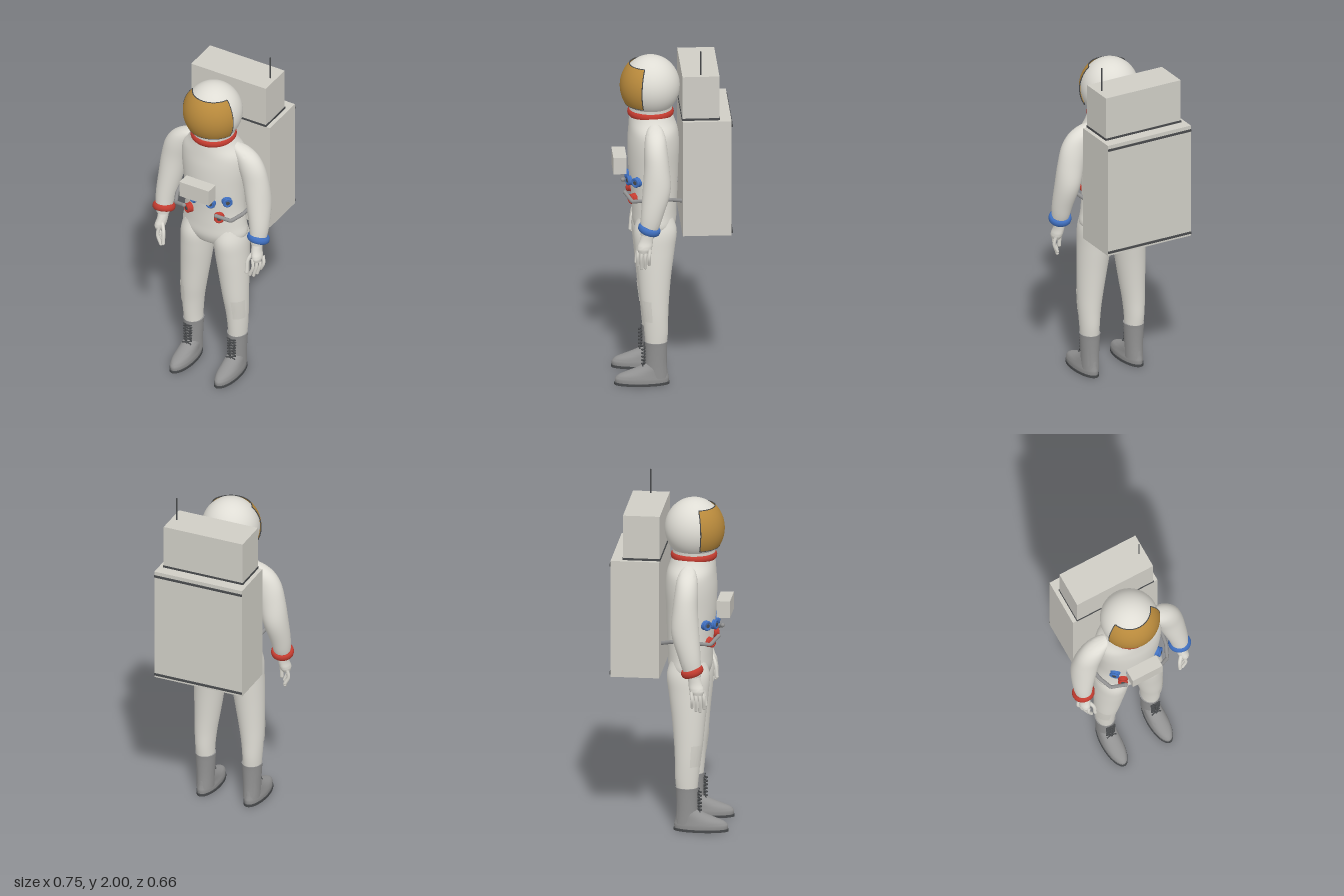
import * as THREE from 'three';
import { toCreasedNormals } from 'three/addons/utils/BufferGeometryUtils.js';

const paint = (name, color, side = THREE.FrontSide) => {
  const m = new THREE.MeshStandardMaterial({ color, side });
  m.name = name;
  return m;
};

// Loft through horizontal ellipses given bottom to top as [y, cx, cz, rx, rz]
function loft(rows, { seg = 32, steps = 24, t0 = 0, t1 = 1, start = 0, arc = Math.PI * 2, grow = 0, open = false } = {}) {
  const centre = new THREE.CatmullRomCurve3(rows.map(r => new THREE.Vector3(r[1], r[0], r[2])), false, 'centripetal');
  const size = new THREE.CatmullRomCurve3(rows.map(r => new THREE.Vector3(r[3], r[0], r[4])), false, 'centripetal');
  const g = new THREE.CylinderGeometry(1, 1, 1, seg, steps, open, start, arc);
  const p = g.attributes.position;
  for (let i = 0; i < p.count; i++) {
    const t = THREE.MathUtils.clamp(t0 + (p.getY(i) + 0.5) * (t1 - t0), 0, 1);
    const c = centre.getPoint(t), s = size.getPoint(t);
    p.setXYZ(i, c.x + p.getX(i) * (s.x + grow), c.y, c.z + p.getZ(i) * (s.z + grow));
  }
  return toCreasedNormals(g, 0.9);
}

const V = (x, y, z) => new THREE.Vector3(x, y, z);

// Tube with straight runs between points
function pipe(points, radius, closed = false) {
  const path = new THREE.CurvePath();
  const n = points.length;
  for (let i = 0; i < (closed ? n : n - 1); i++) path.add(new THREE.LineCurve3(points[i], points[(i + 1) % n]));
  return new THREE.TubeGeometry(path, n * 8, radius, 8, closed);
}

export function createModel() {
  const suit = paint('suit fabric', 0xdfddd5);
  const patchMat = paint('patch fabric', 0xd6d4cc, THREE.DoubleSide);
  const shell = paint('pack shell', 0xcfcdc5);
  const gold = paint('gold visor', 0xb98a3c, THREE.DoubleSide);
  const red = paint('red fittings', 0xc43c30);
  const blue = paint('blue fittings', 0x4070c0);
  const boot = paint('boot grey', 0x929292);
  const dark = paint('dark trim', 0x484a4c);

  const model = new THREE.Group();
  model.name = 'astronaut';
  const add = (name, geo, mat, x = 0, y = 0, z = 0, parent = model) => {
    const m = new THREE.Mesh(geo, mat);
    m.name = name;
    m.position.set(x, y, z);
    parent.add(m);
    return m;
  };

  // Torso
  add('torso', loft([
    [0.845, 0, 0.095, 0.05, 0.06], [0.875, 0, 0.095, 0.15, 0.1], [0.93, 0, 0.095, 0.198, 0.122],
    [1.0, 0, 0.095, 0.19, 0.125], [1.1, 0, 0.095, 0.18, 0.13], [1.25, 0, 0.1, 0.185, 0.14],
    [1.4, 0, 0.1, 0.198, 0.145], [1.48, 0, 0.102, 0.19, 0.138], [1.54, 0, 0.11, 0.145, 0.126],
    [1.6, 0, 0.115, 0.115, 0.115],
  ], { steps: 40, seg: 40 }), suit);

  // Helmet, neck ring and visor
  const hy = 1.73, hz = 0.115, tall = 1.055;
  add('helmet', new THREE.SphereGeometry(0.165, 40, 28), suit, 0, hy, hz).scale.y = tall;
  add('neckBase', new THREE.CylinderGeometry(0.118, 0.122, 0.04, 36), shell, 0, 1.61, hz);
  const neck = add('neckRing', new THREE.TorusGeometry(0.11, 0.021, 12, 40), red, 0, 1.575, hz);
  neck.rotation.x = Math.PI / 2;
  neck.scale.z = 1.15;
  const half = 1.23, top = 0.765, low = 2.16;
  add('visor', new THREE.SphereGeometry(0.173, 36, 20, Math.PI / 2 - half, half * 2, top, low - top), gold, 0, hy, hz).scale.y = tall;
  const rim = [];
  const rimPoint = (a, t) => rim.push(V(Math.sin(a) * Math.sin(t), Math.cos(t) * tall, Math.cos(a) * Math.sin(t)).multiplyScalar(0.172));
  for (let i = 0; i < 16; i++) rimPoint(half * (i / 8 - 1), top);
  for (let i = 0; i < 10; i++) rimPoint(half, top + (low - top) * i / 10);
  for (let i = 0; i < 16; i++) rimPoint(half * (1 - i / 8), low);
  for (let i = 0; i < 10; i++) rimPoint(-half, low + (top - low) * i / 10);
  add('visorRim', pipe(rim, 0.003, true), dark, 0, hy, hz);

  // Life support pack
  add('mainPack', new THREE.BoxGeometry(0.54, 0.68, 0.275), shell, 0, 1.26, -0.1875);
  add('upperPack', new THREE.BoxGeometry(0.486, 0.25, 0.208), shell, 0, 1.735, -0.154);
  add('packSeam', new THREE.BoxGeometry(0.492, 0.012, 0.214), dark, 0, 1.606, -0.154);
  for (const y of [1.572, 0.94]) add('packBar', new THREE.BoxGeometry(0.54, 0.012, 0.008), dark, 0, y, -0.328);
  add('antenna', new THREE.CylinderGeometry(0.004, 0.004, 0.14, 8), dark, 0.21, 1.93, -0.155);

  // Chest control box
  add('chestBox', new THREE.BoxGeometry(0.19, 0.097, 0.075), shell, 0, 1.283, 0.292);

  const armRows = [
    [0.95, 0.307, 0.148, 0.038, 0.042], [0.99, 0.307, 0.138, 0.047, 0.053], [1.06, 0.304, 0.125, 0.056, 0.063],
    [1.2, 0.284, 0.098, 0.071, 0.079], [1.33, 0.262, 0.096, 0.077, 0.071], [1.43, 0.232, 0.1, 0.08, 0.065],
    [1.49, 0.2, 0.1, 0.07, 0.056], [1.525, 0.165, 0.1, 0.05, 0.04], [1.545, 0.13, 0.1, 0.015, 0.015],
  ];
  const handRows = [
    [0.845, 0.318, 0.172, 0.022, 0.03], [0.87, 0.315, 0.168, 0.03, 0.042], [0.91, 0.307, 0.158, 0.029, 0.038],
    [0.96, 0.305, 0.147, 0.03, 0.034],
  ];
  const legRows = [
    [0.22, 0.143, 0.092, 0.05, 0.058], [0.3, 0.145, 0.092, 0.055, 0.066], [0.4, 0.143, 0.096, 0.063, 0.072],
    [0.5, 0.136, 0.1, 0.072, 0.081], [0.65, 0.124, 0.1, 0.084, 0.095], [0.8, 0.112, 0.098, 0.093, 0.113],
    [0.9, 0.105, 0.095, 0.095, 0.121], [0.98, 0.1, 0.095, 0.08, 0.1],
  ];

  for (const s of [1, -1]) {
    const mir = rows => rows.map(([y, cx, ...r]) => [y, cx * s, ...r]);
    const side = new THREE.Group();
    side.name = s > 0 ? 'leftSide' : 'rightSide';
    model.add(side);
    const put = (name, geo, mat, x = 0, y = 0, z = 0) => add(name, geo, mat, x * s, y, z, side);

    // Arm and wrist ring
    put('arm', loft(mir(armRows), { steps: 32 }), suit);
    const cuff = put('wristRing', new THREE.TorusGeometry(0.052, 0.013, 10, 32), s > 0 ? blue : red, 0.308, 0.98, 0.141);
    cuff.rotation.set(Math.PI / 2 - 0.32, -0.08 * s, 0);
    cuff.scale.z = 1.6;

    // Gloved hand
    put('palm', loft(mir(handRows), { seg: 20, steps: 12 }), suit);
    for (let i = 0; i < 4; i++) {
      const z = 0.138 + i * 0.021, drop = [0.03, 0.008, 0, 0.015][i];
      const x = 0.336 - i * 0.011;
      const path = new THREE.CatmullRomCurve3([
        V(x * s, 0.87, z), V((x + 0.008) * s, 0.82, z + 0.006), V((x - 0.012) * s, 0.745 + drop, z + 0.004)]);
      put('finger', new THREE.TubeGeometry(path, 10, 0.0095, 8), suit);
      put('fingertip', new THREE.SphereGeometry(0.0095, 8, 6), suit, x - 0.012, 0.745 + drop, z + 0.004);
    }
    const thumb = new THREE.CatmullRomCurve3([V(0.298 * s, 0.9, 0.18), V(0.275 * s, 0.85, 0.203), V(0.272 * s, 0.775, 0.212)]);
    put('thumb', new THREE.TubeGeometry(thumb, 10, 0.011, 8), suit);
    put('thumbTip', new THREE.SphereGeometry(0.011, 8, 6), suit, 0.272, 0.775, 0.212);

    // Leg and knee patch
    put('leg', loft(mir(legRows), { steps: 36 }), suit);
    put('kneePatch', loft(mir(legRows), {
      seg: 10, steps: 8, t0: 0.26, t1: 0.435, start: s > 0 ? 0.2 : -1.3, arc: 1.1, grow: 0.004, open: true,
    }), patchMat);

    // Boot with sole and crossed laces
    put('bootShaft', loft(mir([
      [0.04, 0.143, 0.092, 0.048, 0.065], [0.12, 0.143, 0.092, 0.05, 0.06], [0.23, 0.143, 0.092, 0.056, 0.062],
      [0.252, 0.143, 0.092, 0.058, 0.064],
    ]), { steps: 14 }), boot);
    put('bootFoot', loft(mir([
      [0.01, 0.145, 0.172, 0.054, 0.15], [0.035, 0.145, 0.172, 0.056, 0.152], [0.056, 0.145, 0.165, 0.053, 0.14],
      [0.075, 0.144, 0.142, 0.05, 0.114], [0.1, 0.143, 0.112, 0.046, 0.08], [0.125, 0.143, 0.095, 0.04, 0.055],
    ]), { steps: 16 }), boot);
    const sole = put('sole', new THREE.CylinderGeometry(1, 1, 0.014, 36), dark, 0.145, 0.007, 0.172);
    sole.scale.set(0.059, 1, 0.156);
    for (const k of [1, -1]) {
      const lace = [];
      for (let i = 0; i < 8; i++) {
        lace.push(V((0.143 + (i % 2 ? k : -k) * 0.03) * s, 0.11 + i * 0.018, 0.158 + (i < 1 ? 0.012 : 0)));
      }
      put('lace', pipe(lace, 0.004), dark);
    }
    for (let i = 0; i < 6; i++) put('laceEnd', new THREE.SphereGeometry(0.007, 8, 6), dark, 0.143, 0.118 + i * 0.021, 0.17);

    // Hose connectors on the belly
    for (const [x, y, mat] of [[0.135, 1.2, blue], [0.052, 1.183, blue], [0.096, 1.09, red]]) {
      const a = Math.asin(x / 0.195);
      const port = new THREE.Group();
      port.name = 'connector';
      port.position.set(x * s, y, 0.097 + 0.137 * Math.cos(a));
      port.rotation.y = a * s;
      side.add(port);
      const body = add('connectorBody', new THREE.CylinderGeometry(0.023, 0.03, 0.03, 20), mat, 0, 0, 0.006, port);
      body.rotation.x = Math.PI / 2;
      add('connectorRing', new THREE.TorusGeometry(0.022, 0.007, 8, 20), mat, 0, 0, 0.018, port);
      const hub = add('connectorHub', new THREE.CylinderGeometry(0.011, 0.011, 0.006, 14), dark, 0, 0, 0.022, port);
      hub.rotation.x = Math.PI / 2;
    }

    // Hose from the belly round to the pack
    put('hose', pipe([
      V(0.105 * s, 1.13, 0.265), V(0.18 * s, 1.1, 0.228), V(0.213 * s, 1.115, 0.155),
      V(0.225 * s, 1.13, 0.08), V(0.215 * s, 1.12, 0.015), V(0.165 * s, 1.095, -0.055),
    ], 0.011), boot);
    put('hoseEnd', new THREE.SphereGeometry(0.012, 10, 8), boot, 0.105, 1.13, 0.265);
  }

  return model;
}
